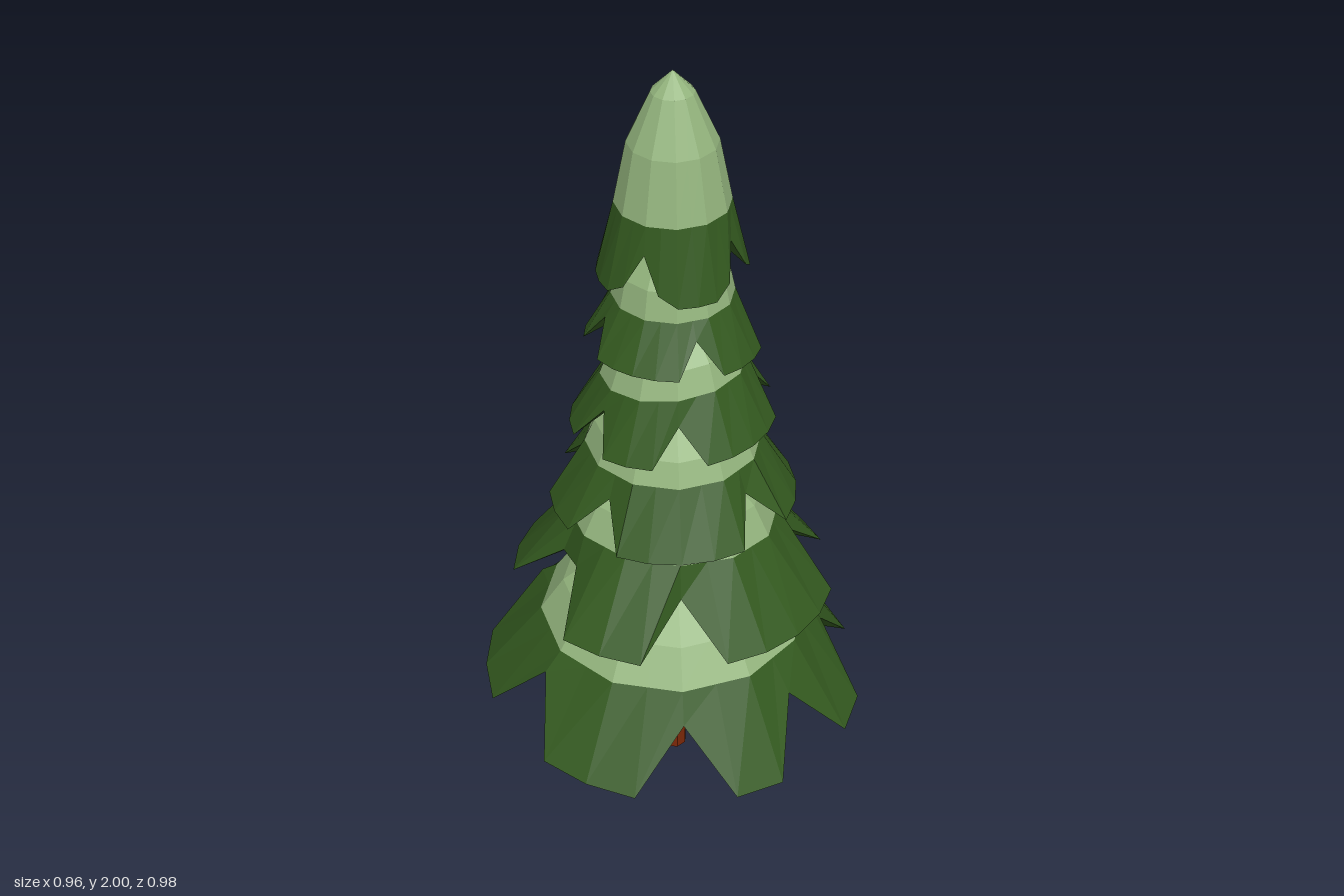
import * as THREE from 'three';

const mat = (name, color) => {
  const m = new THREE.MeshStandardMaterial({ color, flatShading: true, side: THREE.DoubleSide });
  m.name = name;
  return m;
};

const STEPS = 24; // rim points per tier, 15 degrees apart

// Tiers: dome profile [radius, y] from the hem line to the peak, rim and notch points of
// the skirt, tilts of hem and rim along x and z, notch angles in degrees (from +x towards
// +z), and spread, which is how far the rim points beside a notch are drawn towards it.
const TIERS = [
  { dome: [[0.34, 0.49], [0.28, 0.58], [0.18, 0.66], [0, 0.73]], rim: [0.49, 0.275], notch: [0.385, 0.43], hemTilt: [0, 0], rimTilt: [-0.065, 0], notches: [15, 60, 120, 180, 240, 330], spread: 0 },
  { dome: [[0.26, 0.80], [0.22, 0.88], [0.15, 0.94], [0, 1.0]], rim: [0.405, 0.605], notch: [0.285, 0.725], hemTilt: [0, 0.11], rimTilt: [0, 0.065], notches: [60, 120, 135, 210, 330], spread: 0 },
  { dome: [[0.215, 1.02], [0.19, 1.08], [0.13, 1.15], [0, 1.2]], rim: [0.305, 0.865], notch: [0.23, 0.96], hemTilt: [0, 0], rimTilt: [0, 0], notches: [15, 105, 165, 270, 285], spread: 0 },
  { dome: [[0.175, 1.235], [0.15, 1.3], [0.09, 1.37], [0, 1.41]], rim: [0.25, 1.095], notch: [0.195, 1.18], hemTilt: [0.13, 0], rimTilt: [0.07, 0], notches: [60, 120, 240, 330], spread: 0 },
  { dome: [[0.145, 1.44], [0.13, 1.51], [0.08, 1.59], [0, 1.63]], rim: [0.21, 1.31], notch: [0.165, 1.39], hemTilt: [0, 0], rimTilt: [0, 0.08], notches: [45, 135, 315, 330], spread: 0 },
  { dome: [[0.135, 1.68], [0.105, 1.83], [0.05, 1.95], [0, 2.0]], rim: [0.178, 1.5], notch: [0.145, 1.61], hemTilt: [0, 0], rimTilt: [0, 0], notches: [0, 90, 195, 255], spread: 0.25 },
];

// Joins rings of points, listed from bottom to top, into an open shell
function shell(rings) {
  const n = rings[0].length, pos = [], idx = [];
  rings.forEach(ring => ring.forEach(p => pos.push(...p)));
  for (let k = 0; k < rings.length - 1; k++) {
    for (let i = 0; i < n; i++) {
      const a = k * n + i, b = k * n + (i + 1) % n;
      idx.push(a, a + n, b, b, a + n, b + n);
    }
  }
  const g = new THREE.BufferGeometry();
  g.setAttribute('position', new THREE.Float32BufferAttribute(pos, 3));
  g.setIndex(idx);
  g.computeVertexNormals();
  return g;
}

function createTier(t, index, light, dark) {
  const tier = new THREE.Group();
  tier.name = 'branchTier' + (index + 1);
  const point = (i, r, y, tilt) => {
    const a = i / STEPS * Math.PI * 2;
    const x = r * Math.cos(a), z = r * Math.sin(a);
    return [x, y + tilt[0] * x + tilt[1] * z, z];
  };
  const ring = fn => Array.from({ length: STEPS }, (_, i) => fn(i));
  // Odd points are pulled in so the hem stays a twelve-sided polygon
  const hemRing = (r, y) => ring(i => point(i, i % 2 ? r * Math.cos(Math.PI / 12) : r, y, t.hemTilt));
  const add = (name, rings, material) => {
    const m = new THREE.Mesh(shell(rings), material);
    m.name = name;
    tier.add(m);
  };

  // Pale dome
  add('paleCap', t.dome.map(([r, y]) => hemRing(r, y)), light);

  // Dark flaring skirt cut into lobes
  const [hemR, hemY] = t.dome[0];
  const isNotch = i => t.notches.includes((i + STEPS) % STEPS * 360 / STEPS);
  const rim = ring(i => {
    const f = isNotch(i) ? 1 : isNotch(i - 1) || isNotch(i + 1) ? t.spread : 0;
    return point(i, THREE.MathUtils.lerp(t.rim[0], t.notch[0], f), THREE.MathUtils.lerp(t.rim[1], t.notch[1], f), t.rimTilt);
  });
  add('lobedSkirt', [rim, hemRing(hemR, hemY)], dark);

  // Dark underside rising to a small opening at the core
  add('underside', [hemRing(hemR * 0.16, THREE.MathUtils.lerp(t.rim[1], hemY, 0.88)), rim], dark);
  return tier;
}

export function createModel() {
  const model = new THREE.Group();
  model.name = 'firTree';
  const light = mat('paleGreen', 0x94b57e);
  const dark = mat('deepGreen', 0x33591f);

  TIERS.forEach((t, i) => model.add(createTier(t, i, light, dark)));

  // Trunk with a darker foot
  const trunkPart = (name, y0, y1, material) => {
    const m = new THREE.Mesh(new THREE.CylinderGeometry(0.035, 0.035, y1 - y0, 8), material);
    m.position.y = (y0 + y1) / 2;
    m.name = name;
    model.add(m);
  };
  trunkPart('trunkFoot', 0, 0.12, mat('darkBark', 0x7c2808));
  trunkPart('trunk', 0.12, 0.36, mat('bark', 0xb55b28));
  return model;
}
